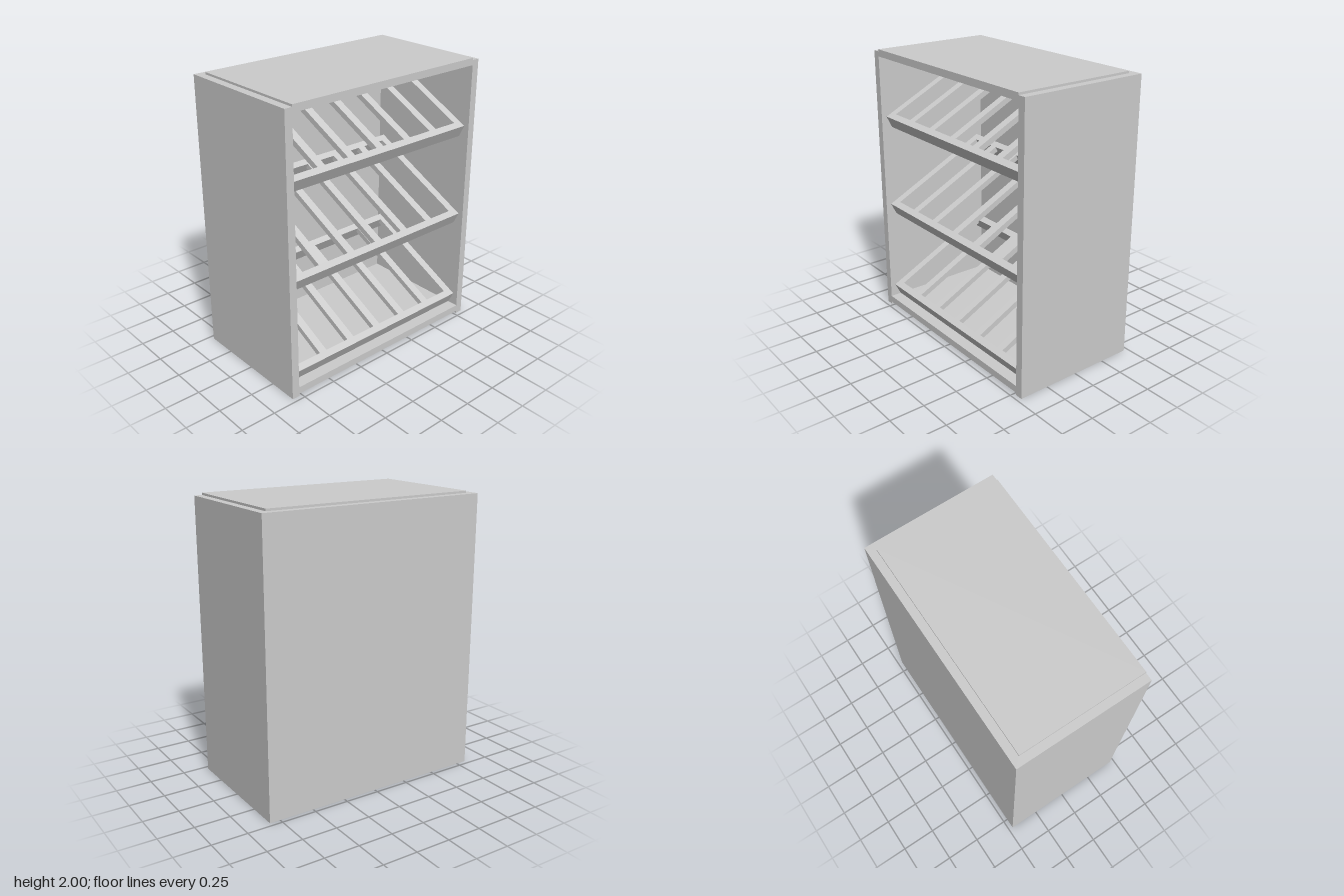
import * as THREE from 'three';

const material = new THREE.MeshStandardMaterial({ color: 0xcccccc, flatShading: true });

function box(name, w, h, d, x, y, z) {
  const mesh = new THREE.Mesh(new THREE.BoxGeometry(w, h, d), material);
  mesh.name = name;
  mesh.position.set(x, y, z);
  return mesh;
}

const HALF_W = 0.825, HALF_D = 0.468, WALL = 0.055;
const INNER = HALF_W - WALL;

// Side walls and back as one U-shaped shell
function createShell() {
  const shape = new THREE.Shape([
    [-HALF_W, -HALF_D], [-INNER, -HALF_D], [-INNER, HALF_D - WALL], [INNER, HALF_D - WALL],
    [INNER, -HALF_D], [HALF_W, -HALF_D], [HALF_W, HALF_D], [-HALF_W, HALF_D],
  ].map(([x, y]) => new THREE.Vector2(x, y)));
  const geometry = new THREE.ExtrudeGeometry(shape, { depth: 1.985, bevelEnabled: false });
  geometry.rotateX(-Math.PI / 2);
  const mesh = new THREE.Mesh(geometry, material);
  mesh.name = 'sideAndBackWalls';
  return mesh;
}

// Sloping rack: front and back rails joined by seven slats, top faces flush
function createRack(y) {
  const rise = 0.395, run = 0.8;
  const length = Math.hypot(rise, run);
  const railW = 0.05, railH = 0.095, slatH = 0.04, slatW = 0.058;
  const rack = new THREE.Group();
  rack.name = 'slopedRack';
  rack.add(
    box('frontRail', INNER * 2, railH, railW, 0, -railH / 2, -railW / 2),
    box('backRail', INNER * 2, railH, railW, 0, -railH / 2, -length + railW / 2),
  );
  const span = INNER * 2 - slatW;
  for (let i = 0; i < 7; i++) {
    const x = -span / 2 + (i * span) / 6;
    rack.add(box('slat', slatW, slatH, length - railW * 2, x, -slatH / 2, -length / 2));
  }
  rack.position.set(0, y, 0.43);
  rack.rotation.x = Math.atan2(rise, run);
  return rack;
}

export function createModel() {
  const model = new THREE.Group();
  model.name = 'slantedShelfCabinet';
  model.add(createShell());

  // Top stands slightly proud of the walls, bottom is slightly recessed
  const depth = HALF_D * 2 - WALL;
  model.add(
    box('topPanel', INNER * 2, 0.05, depth, 0, 1.975, WALL / 2),
    box('bottomPanel', INNER * 2, 0.05, depth, 0, 0.043, WALL / 2),
  );

  for (let i = 0; i < 3; i++) model.add(createRack(0.158 + i * 0.676));
  return model;
}
